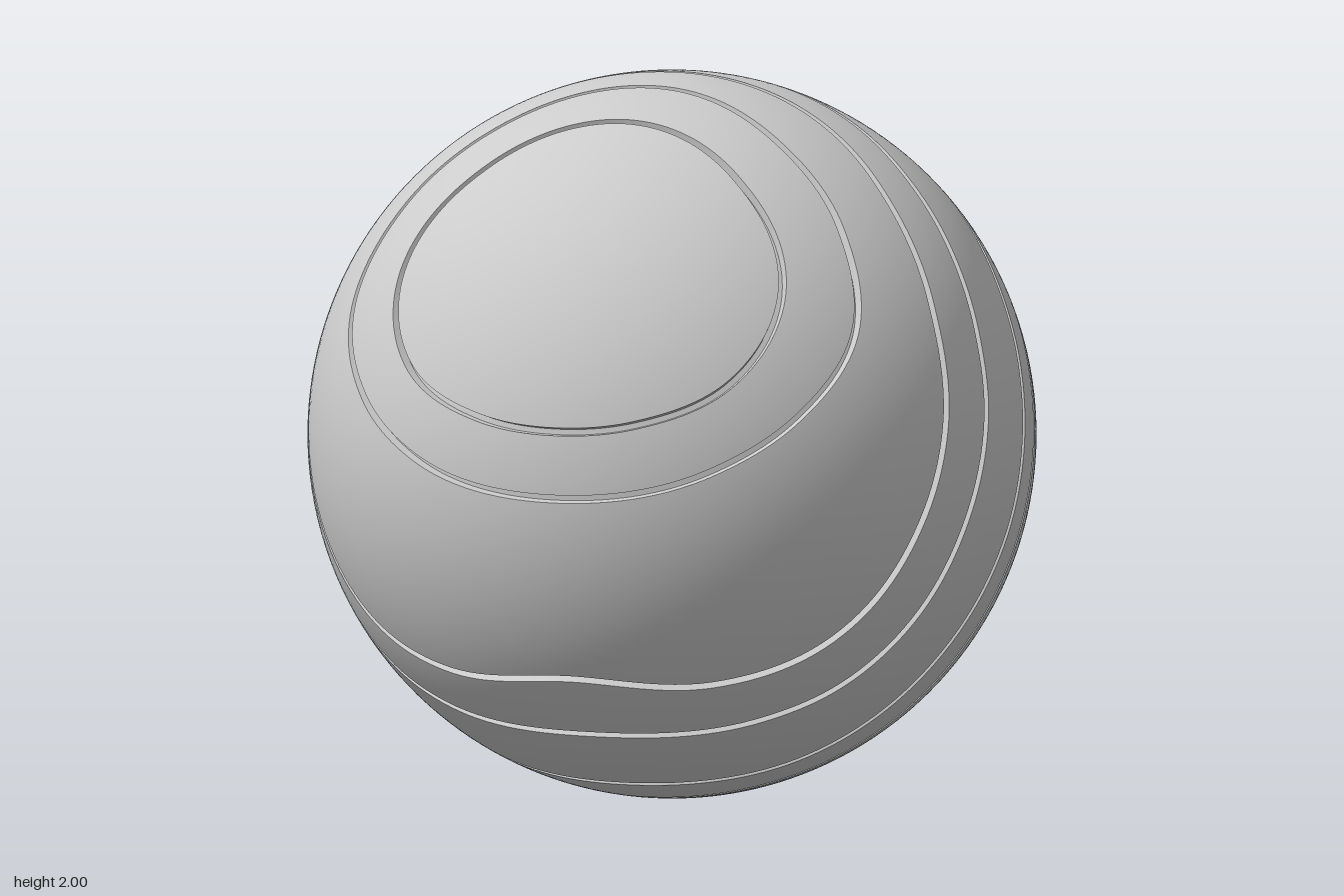
import * as THREE from 'three';

const SEGMENTS = 192;        // steps around each loop
const HALF_WIDTH = 0.011;    // half the groove width
const DEPTH = 0.026;         // groove depth

// Axis through the front cap, with the directions that measure the azimuth around it
const AXIS = new THREE.Vector3(0, 0.67, 0.742).normalize();
const UP = new THREE.Vector3(0, AXIS.z, -AXIS.y);
const SIDE = new THREE.Vector3(1, 0, 0);

// Half of each groove loop as [z, y] on the unit sphere, top to bottom; mirrored in x
const LOOPS = [
  [[0.38, 0.925], [0.48, 0.80], [0.665, 0.50], [0.834, 0.29], [0.956, 0.18], [0.987, 0.155]],
  [[0.155, 0.985], [0.27, 0.876], [0.40, 0.66], [0.554, 0.40], [0.75, 0.19], [0.9, 0.05], [0.999, -0.03]],
  [[-0.05, 0.999], [0.13, 0.76], [0.27, 0.45], [0.36, 0.12], [0.44, -0.12], [0.53, -0.35], [0.62, -0.49],
    [0.73, -0.567], [0.83, -0.555]],
  [[-0.24, 0.97], [-0.07, 0.785], [0.03, 0.59], [0.115, 0.35], [0.17, 0.13], [0.25, -0.11], [0.355, -0.40],
    [0.46, -0.59], [0.57, -0.69], [0.682, -0.731]],
  [[-0.645, 0.764], [-0.47, 0.733], [-0.33, 0.64], [-0.205, 0.455], [-0.136, 0.24], [-0.07, 0], [0, -0.24],
    [0.09, -0.48], [0.195, -0.71], [0.29, -0.845], [0.42, -0.907]],
  [[-0.80, 0.60], [-0.66, 0.636], [-0.527, 0.604], [-0.42, 0.497], [-0.34, 0.35], [-0.275, 0.187], [-0.21, -0.05],
    [-0.15, -0.27], [-0.09, -0.455], [-0.015, -0.67], [0.09, -0.87], [0.22, -0.975]],
  [[-1, 0], [-0.874, 0.027], [-0.74, -0.016], [-0.607, -0.123], [-0.447, -0.32], [-0.286, -0.535],
    [-0.152, -0.733], [-0.056, -0.88], [0.035, -1]],
  [[-0.983, -0.18], [-0.874, -0.128], [-0.767, -0.16], [-0.634, -0.283], [-0.473, -0.48], [-0.34, -0.67],
    [-0.22, -0.84], [-0.135, -0.99]],
];

// Turn a half loop into a smooth function: polar angle for a given azimuth
function loopFunction(half) {
  const pts = half.map(([z, y], i) => {
    const end = i === 0 || i === half.length - 1;
    const x = end ? 0 : Math.sqrt(Math.max(0, 1 - y * y - z * z));
    const p = new THREE.Vector3(x, y, z).normalize();
    return [Math.atan2(p.dot(SIDE), p.dot(UP)), Math.acos(p.dot(AXIS))];
  });
  const n = pts.length;
  pts[0][0] = 0;
  pts[n - 1][0] = Math.PI;
  const slope = pts.map((p, i) => (i === 0 || i === n - 1 ? 0
    : (pts[i + 1][1] - pts[i - 1][1]) / (pts[i + 1][0] - pts[i - 1][0])));
  return (azimuth) => {
    const a = azimuth > Math.PI ? 2 * Math.PI - azimuth : azimuth;
    let i = 0;
    while (i < n - 2 && a > pts[i + 1][0]) i++;
    const h = pts[i + 1][0] - pts[i][0];
    const t = (a - pts[i][0]) / h, t2 = t * t, t3 = t2 * t;
    return (2 * t3 - 3 * t2 + 1) * pts[i][1] + (t3 - 2 * t2 + t) * h * slope[i]
      + (3 * t2 - 2 * t3) * pts[i + 1][1] + (t3 - t2) * h * slope[i + 1];
  };
}

// Ring of polar angles on a loop, plus the local groove half width seen along the polar direction
function sampleLoop(half) {
  const f = loopFunction(half);
  const step = (2 * Math.PI) / SEGMENTS;
  const theta = Array.from({ length: SEGMENTS }, (_, j) => f(j * step));
  const width = theta.map((t, j) => {
    const before = theta[(j + SEGMENTS - 1) % SEGMENTS], after = theta[(j + 1) % SEGMENTS];
    return HALF_WIDTH * Math.hypot(1, (after - before) / (2 * step * Math.sin(t)));
  });
  return { theta, width };
}

// Skin over a list of rings { theta: [...], radius }
function skin(rings, spherical) {
  const pos = [], index = [];
  rings.forEach(({ theta, radius }, i) => {
    theta.forEach((t, j) => {
      const a = (j / SEGMENTS) * 2 * Math.PI;
      const p = AXIS.clone().multiplyScalar(Math.cos(t))
        .addScaledVector(UP, Math.cos(a) * Math.sin(t))
        .addScaledVector(SIDE, Math.sin(a) * Math.sin(t)).multiplyScalar(radius);
      pos.push(p.x, p.y, p.z);
      if (i === rings.length - 1) return;
      const k = (j + 1) % SEGMENTS, r = i * SEGMENTS, s = r + SEGMENTS;
      index.push(r + j, r + k, s + j, r + k, s + k, s + j);
    });
  });
  const g = new THREE.BufferGeometry();
  g.setAttribute('position', new THREE.Float32BufferAttribute(pos, 3));
  g.setIndex(index);
  if (spherical) g.setAttribute('normal', new THREE.Float32BufferAttribute(pos, 3));
  else g.computeVertexNormals();
  return g;
}

export function createModel() {
  const model = new THREE.Group();
  model.name = 'groovedBall';
  const material = new THREE.MeshStandardMaterial({ color: 0xcccccc });
  const add = (parent, name, geometry) => {
    const mesh = new THREE.Mesh(geometry, material);
    mesh.name = name;
    parent.add(mesh);
  };
  const loops = LOOPS.map(sampleLoop);
  const edge = (loop, side) => loop.theta.map((t, j) => t + side * loop.width[j]);

  // Smooth panels between neighbouring grooves, closed by a cap at either end
  for (let i = 0; i <= loops.length; i++) {
    const from = i === 0 ? new Array(SEGMENTS).fill(0) : edge(loops[i - 1], 1);
    const to = i === loops.length ? new Array(SEGMENTS).fill(Math.PI) : edge(loops[i], -1);
    const cap = i === 0 || i === loops.length;
    const steps = cap ? 24 : 14;
    const rings = Array.from({ length: steps + 1 }, (_, k) => ({
      radius: 1,
      theta: from.map((t, j) => THREE.MathUtils.lerp(t, to[j], k / steps)),
    }));
    add(model, i === 0 ? 'frontCap' : cap ? 'backCap' : `panel${i}`, skin(rings, true));
  }

  // Grooves: two walls and a floor, kept apart for sharp edges
  loops.forEach((loop, i) => {
    const groove = new THREE.Group();
    groove.name = `groove${i + 1}`;
    const profile = [[-1, 1], [-0.7, 1 - DEPTH], [0.7, 1 - DEPTH], [1, 1]]
      .map(([side, radius]) => ({ theta: edge(loop, side), radius }));
    ['frontWall', 'floor', 'backWall'].forEach((name, k) => add(groove, name, skin(profile.slice(k, k + 2), false)));
    model.add(groove);
  });

  model.position.y = 1;
  return model;
}
